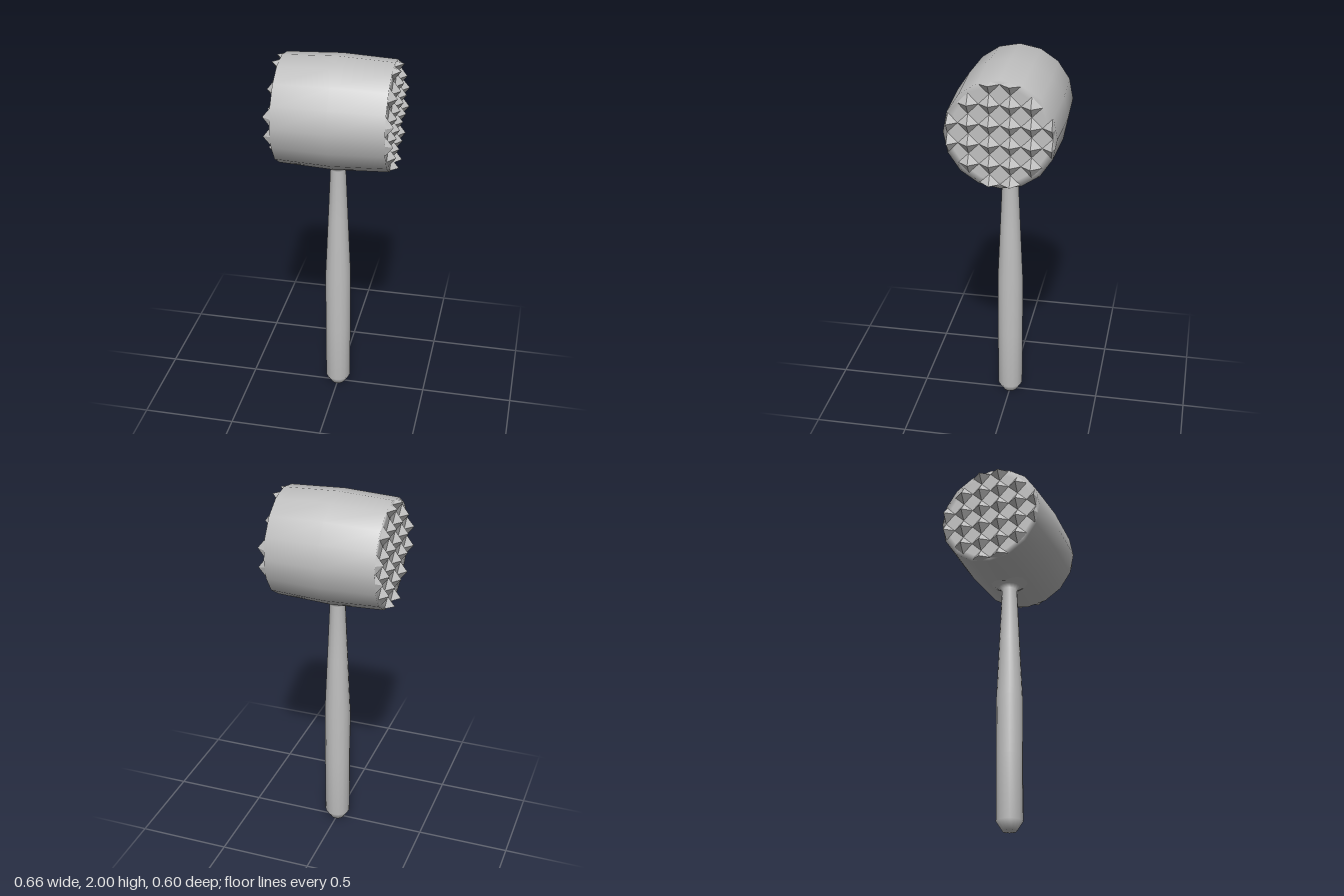
import * as THREE from 'three';
import { mergeGeometries } from 'three/addons/utils/BufferGeometryUtils.js';

const HEAD_Y = 1.7, HALF = 0.29, TOOTH_H = 0.04, PITCH = 0.106, RIM = 0.28;

function lathe(profile, sides) {
  return new THREE.LatheGeometry(profile.map(([r, y]) => new THREE.Vector2(r, y)), sides);
}

// Pointed four-sided teeth in a square grid, trimmed to the round striking face
function teethGeometry(side) {
  const teeth = [];
  for (let i = -2.5; i <= 2.5; i++) {
    for (let j = -2.5; j <= 2.5; j++) {
      const y = i * PITCH, z = j * PITCH;
      if (Math.hypot(y, z) > RIM) continue;
      const cone = new THREE.ConeGeometry(PITCH / 2, TOOTH_H, 4, 1, true);
      cone.rotateZ(-side * Math.PI / 2);
      cone.translate(side * (HALF + TOOTH_H / 2), y, z);
      const p = cone.attributes.position;
      for (let k = 0; k < p.count; k++) {
        const s = Math.min(1, RIM / Math.hypot(p.getY(k), p.getZ(k)));
        p.setY(k, p.getY(k) * s);
        p.setZ(k, p.getZ(k) * s);
      }
      const flat = cone.toNonIndexed();
      flat.computeVertexNormals();
      teeth.push(flat);
    }
  }
  return mergeGeometries(teeth);
}

export function createModel() {
  const group = new THREE.Group();
  const metal = new THREE.MeshStandardMaterial({ color: 0xc0c0c0 });
  metal.name = 'greyMetal';

  const add = (name, geometry, y) => {
    const mesh = new THREE.Mesh(geometry, metal);
    mesh.name = name;
    mesh.position.y = y;
    group.add(mesh);
  };

  // Barrel-shaped head lying along x
  const head = lathe([
    [0, -HALF], [0.25, -HALF], [0.287, -HALF], [0.3, 0],
    [0.287, HALF], [0.25, HALF], [0, HALF],
  ], 16);
  head.rotateZ(-Math.PI / 2);
  add('head', head, HEAD_Y);

  // Toothed striking faces
  add('leftTeeth', teethGeometry(1), HEAD_Y);
  add('rightTeeth', teethGeometry(-1), HEAD_Y);

  // Handle with chamfered butt, tapering neck and flared collar
  add('handle', lathe([
    [0, 0], [0.038, 0], [0.07, 0.05], [0.071, 0.4], [0.071, 0.73],
    [0.056, 1.06], [0.042, 1.375], [0.06, 1.395], [0.1, 1.42],
  ], 16), 0);

  return group;
}
